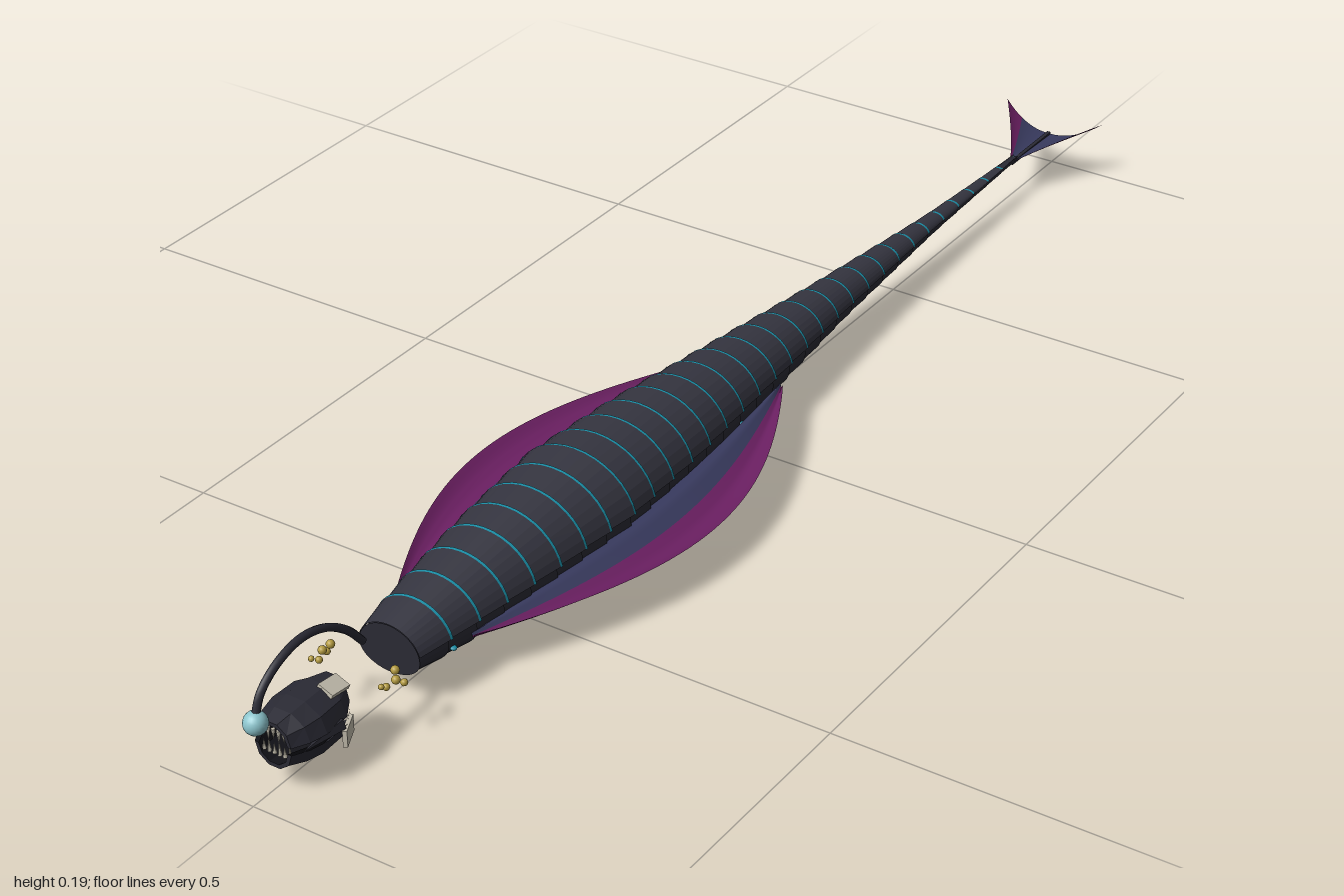
import * as THREE from 'three';

const mat = (name, color) => new THREE.MeshStandardMaterial({ name, color, side: THREE.DoubleSide });
const M = {
  plate: mat('charcoal plate', 0x34343f),
  skin: mat('dark skin', 0x2a2a34),
  mouth: mat('black mouth', 0x15151b),
  teal: mat('teal glow', 0x1a8ea6),
  purple: mat('purple membrane', 0x6b1f62),
  blue: mat('slate blue membrane', 0x383a5e),
  gold: mat('gold eye', 0xb59c3f),
  bone: mat('pale bone', 0xc4beae),
  lure: mat('pale cyan lure', 0x8cc4cc),
};

// Piecewise-linear lookup: keys are [position, value, value...] in rising order
function sample(keys, p) {
  let i = 0;
  while (i < keys.length - 2 && p > keys[i + 1][0]) i++;
  const a = keys[i], b = keys[i + 1];
  const t = THREE.MathUtils.clamp((p - a[0]) / (b[0] - a[0]), 0, 1);
  return a.slice(1).map((v, k) => v + (b[k + 1] - v) * t);
}

// Surface from a rule f(u, v) -> [x, y, z]
function surface(f, nu, nv, flat = false) {
  const pos = [], idx = [];
  for (let i = 0; i <= nu; i++)
    for (let j = 0; j <= nv; j++) pos.push(...f(i / nu, j / nv));
  for (let i = 0; i < nu; i++)
    for (let j = 0; j < nv; j++) {
      const a = i * (nv + 1) + j, b = a + nv + 1;
      idx.push(a, b, a + 1, b, b + 1, a + 1);
    }
  let g = new THREE.BufferGeometry();
  g.setAttribute('position', new THREE.Float32BufferAttribute(pos, 3));
  g.setIndex(idx);
  if (flat) g = g.toNonIndexed();
  g.computeVertexNormals();
  return g;
}

function add(parent, name, geometry, material, x = 0, y = 0, z = 0) {
  const m = new THREE.Mesh(geometry, material);
  m.name = name;
  m.position.set(x, y, z);
  parent.add(m);
  return m;
}

// Body outline: z, half width, top, bottom
const BODY = [
  [-0.88, 0.004, 0.069, 0.062], [-0.6, 0.016, 0.084, 0.056], [-0.3, 0.038, 0.108, 0.044],
  [0, 0.068, 0.134, 0.021], [0.15, 0.084, 0.147, 0.009], [0.33, 0.095, 0.156, 0.003],
  [0.5, 0.081, 0.145, 0.013], [0.65, 0.062, 0.126, 0.03], [0.73, 0.05, 0.114, 0.04],
];
const MID = 0.072;

// Point on the stepped body ring; angle 0 is +x, 90 degrees is up
function ring(z, angle, k, side = 1) {
  const [w, top, bottom] = sample(BODY, z);
  const s = Math.sin(angle);
  return [w * k * side * Math.cos(angle), MID + s * k * (s > 0 ? top - MID : MID - bottom), z];
}

function buildBody(root) {
  const body = new THREE.Group();
  body.name = 'body';
  root.add(body);
  const count = 32, step = 0.05;
  for (let i = 0; i < count; i++) {
    const front = 0.73 - i * step, back = front - step;
    // Underlying ring
    add(body, 'bodyRing', surface((u, v) =>
      ring(front - u * step, v * Math.PI * 2, 0.9 + u * 0.05), 1, 28, true), M.skin);
    // Overlapping back plate with a raised rear edge
    const a0 = 0.2, a1 = Math.PI - 0.2;
    add(body, 'backPlate', surface((u, v) =>
      ring(front - u * (step + 0.004), a0 + (a1 - a0) * v, 0.97 + u * 0.06), 1, 16, true), M.plate);
    add(body, 'plateLip', surface((u, v) =>
      ring(back - 0.004, a0 + (a1 - a0) * v, 1.03 - u * 0.09), 1, 16, true), M.plate);
    // Glowing seam along the rear edge
    add(body, 'glowSeam', surface((u, v) =>
      ring(back - u * 0.004, a0 + (a1 - a0) * v, 1.034), 1, 16, true), M.teal);
  }
  add(body, 'frontCap', surface((u, v) => ring(0.73, v * Math.PI * 2, 0.95 * u), 1, 28), M.skin);
  // Light spots along the flanks
  for (const side of [-1, 1])
    for (const z of [0.67, 0.5, 0.34, 0.18, 0.02]) {
      const p = ring(z, -0.25, 0.94, side);
      const spot = add(body, 'lightSpot', new THREE.SphereGeometry(0.005, 8, 6), M.teal, ...p);
      spot.scale.y = 0.6;
    }
}

// Wavy side fins, inner band and outer band
function buildFins(root) {
  const wave = [[0, 0.068], [0.2, 0.074], [0.45, 0.063], [0.65, 0.056], [0.85, 0.06], [1, 0.07]];
  for (const side of [-1, 1]) {
    const fin = (s0, s1) => surface((u, v) => {
      const s = s0 + (s1 - s0) * v, bulge = Math.sin(Math.PI * u);
      const x = 0.058 + 0.024 * bulge + s * (0.006 + 0.097 * Math.pow(Math.max(bulge, 0), 0.95));
      const y = 0.068 + (sample(wave, s)[0] - 0.068) * (0.3 + 0.7 * bulge);
      return [side * x, y, 0.64 - 0.725 * u];
    }, 40, 8);
    add(root, 'sideFinInner', fin(0, 0.45), M.blue);
    add(root, 'sideFinOuter', fin(0.45, 1), M.purple);
  }
}

// Upswept tail flukes
function buildTail(root) {
  for (const side of [-1, 1]) {
    const fluke = (s0, s1) => surface((u, v) => {
      const s = s0 + (s1 - s0) * v;
      return [side * (0.003 + 0.082 * s * Math.pow(u, 1.15)),
        0.066 + 0.032 * s * s * u - 0.003 * u, -0.86 - u * (0.125 + 0.015 * s * s)];
    }, 10, 6);
    add(root, 'tailFlukeInner', fluke(0, 0.6), M.blue);
    add(root, 'tailFlukeOuter', fluke(0.6, 1), M.purple);
  }
  add(root, 'tailRidge', new THREE.BoxGeometry(0.006, 0.005, 0.125), M.skin, 0, 0.064, -0.922);
}

function buildHead(root) {
  const head = new THREE.Group();
  head.name = 'head';
  root.add(head);
  // Faceted jaws: z, half width, height
  const jaw = [[0.842, 0.026, 0.032], [0.87, 0.044, 0.037], [0.91, 0.046, 0.037], [0.935, 0.04, 0.034], [0.957, 0.028, 0.029]];
  for (const d of [1, -1]) {
    const y0 = 0.071 + d * 0.005;
    const shell = (k) => (u, v) => {
      const z = jaw[Math.round(u * 4)][0], [w, h] = sample(jaw, z), a = v * Math.PI;
      return [Math.cos(a) * w * k, y0 + d * Math.sin(a) * h * k, z];
    };
    add(head, d > 0 ? 'upperJaw' : 'lowerJaw', surface(shell(1), 4, 5, true), M.skin);
    add(head, 'mouthLining', surface(shell(0.8), 4, 5, true), M.mouth);
    // Jaw rim joining shell and lining
    add(head, 'jawRim', surface((u, v) => {
      const a = v * Math.PI, k = 1 - 0.2 * u;
      return [Math.cos(a) * 0.028 * k, y0 + d * Math.sin(a) * 0.029 * k, 0.957];
    }, 1, 5, true), M.skin);
    // Teeth
    for (let i = 0; i < 6; i++) {
      const x = -0.02 + i * 0.008, len = 0.016 + (i % 2) * 0.005;
      const tooth = add(head, 'tooth', new THREE.ConeGeometry(0.003, len, 5), M.bone,
        x, 0.071 + d * (0.018 - len / 2), 0.95);
      if (d > 0) tooth.rotation.x = Math.PI;
    }
  }
  add(head, 'throat', new THREE.BoxGeometry(0.05, 0.012, 0.055), M.mouth, 0, 0.071, 0.875);
  // Angular cheek spikes
  for (const side of [-1, 1]) {
    const cheek = add(head, 'cheekSpike', new THREE.ConeGeometry(0.011, 0.07, 5).toNonIndexed(), M.skin, side * 0.04, 0.071, 0.915);
    cheek.geometry.computeVertexNormals();
    cheek.rotation.x = Math.PI / 2;
  }
  // Exposed bone at the rear of the skull
  const top = add(head, 'skullBone', new THREE.BoxGeometry(0.024, 0.006, 0.034), M.bone, 0.019, 0.107, 0.862);
  top.rotation.set(-0.12, 0, -0.35);
  add(head, 'jawBone', new THREE.BoxGeometry(0.006, 0.024, 0.036), M.bone, 0.041, 0.052, 0.866).rotation.y = 0.45;
  add(head, 'neckBone', new THREE.BoxGeometry(0.03, 0.03, 0.006), M.bone, 0, 0.075, 0.844);

  // Clustered eyes
  for (const side of [-1, 1])
    for (const [x, y, z, r] of [[0.05, 0.095, 0.782, 0.006], [0.057, 0.088, 0.79, 0.006],
      [0.052, 0.083, 0.803, 0.005], [0.06, 0.078, 0.778, 0.005], [0.054, 0.091, 0.815, 0.004]])
      add(head, 'eye', new THREE.SphereGeometry(r, 10, 8), M.gold, side * x, y, z);

  // Lure stalk and glowing bulb
  const path = new THREE.CatmullRomCurve3([[0.118, 0.78], [0.15, 0.808], [0.178, 0.85], [0.188, 0.895],
    [0.178, 0.94], [0.155, 0.972], [0.13, 0.983]].map(([y, z]) => new THREE.Vector3(0, y, z)));
  add(head, 'lureStalk', new THREE.TubeGeometry(path, 32, 0.0055, 8), M.skin);
  add(head, 'lureBulb', new THREE.SphereGeometry(0.016, 20, 14), M.lure, 0, 0.12, 0.984);
}

export function createModel() {
  const root = new THREE.Group();
  root.name = 'deepSeaCreature';
  buildBody(root);
  buildFins(root);
  buildTail(root);
  buildHead(root);
  return root;
}
